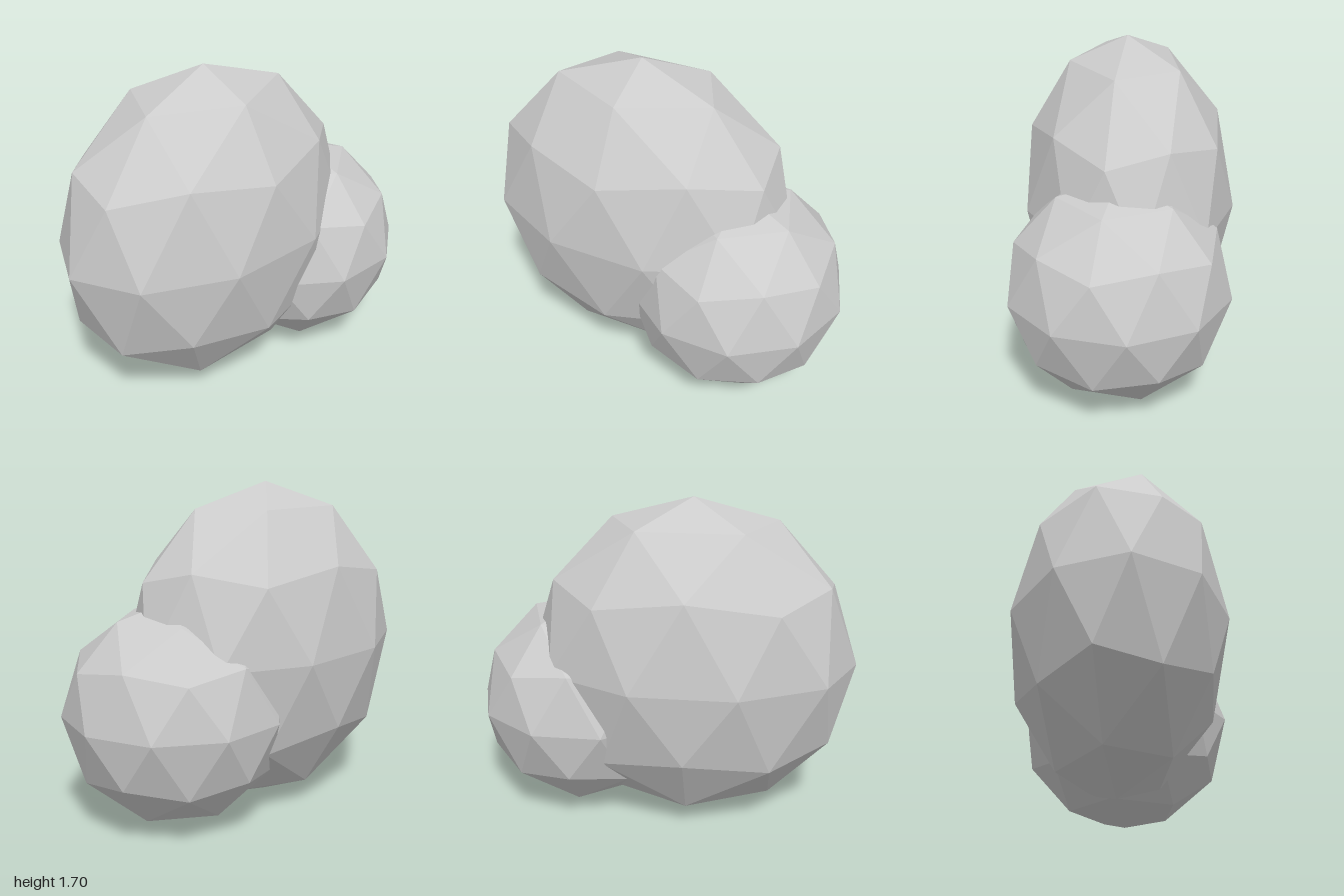
import * as THREE from 'three';

const material = new THREE.MeshStandardMaterial({ color: 0xcccccc, flatShading: true });

// Faceted icosphere standing on a corner, stretched to the given radii.
function lobe(name, radii, centre) {
  const geometry = new THREE.IcosahedronGeometry(1, 1);
  const golden = (1 + Math.sqrt(5)) / 2;
  geometry.rotateZ(-Math.atan(1 / golden)); // one corner straight up
  geometry.scale(...radii);
  geometry.computeVertexNormals();
  const mesh = new THREE.Mesh(geometry, material);
  mesh.name = name;
  mesh.position.set(...centre);
  return mesh;
}

export function createModel() {
  const group = new THREE.Group();
  group.name = 'boulders';
  // Large upright boulder, narrow from side to side
  group.add(lobe('largeBoulder', [0.563, 0.848, 0.848], [-0.045, 0.852, 0.152]));
  // Round boulder sunk into its back
  group.add(lobe('smallBoulder', [0.567, 0.567, 0.567], [0.04, 0.575, -0.433]));
  return group;
}
